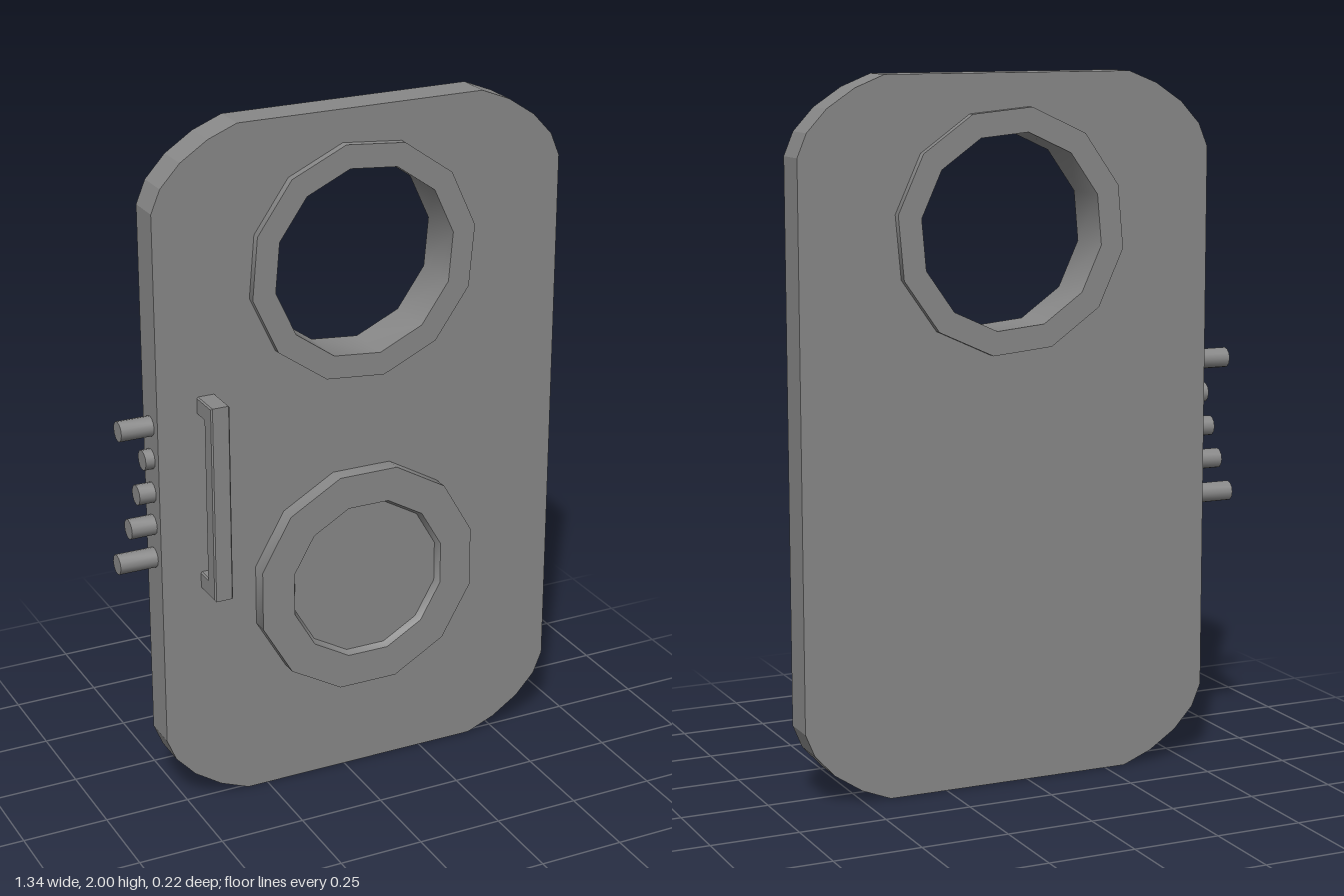
import * as THREE from 'three';
import { toCreasedNormals } from 'three/addons/utils/BufferGeometryUtils.js';

const material = new THREE.MeshStandardMaterial({ color: 0x888888 });
const creaseAngle = 0.6;

function addMesh(parent, name, geometry, x = 0, y = 0, z = 0) {
  const mesh = new THREE.Mesh(geometry, material);
  mesh.name = name;
  mesh.position.set(x, y, z);
  parent.add(mesh);
  return mesh;
}

// Twelve-sided turned part whose axis is z; profile is [radius, z] pairs
function turned(profile, degrees) {
  const points = profile.map(([r, z]) => new THREE.Vector2(r, z));
  const lathe = new THREE.LatheGeometry(points, 12)
    .rotateX(Math.PI / 2)
    .rotateZ(THREE.MathUtils.degToRad(degrees));
  return toCreasedNormals(lathe, creaseAngle);
}

// Door outline: one faceted corner mirrored into all four
function doorShape() {
  const cx = 0.054, cy = 1, halfW = 0.616, halfH = 1;
  const corner = [[0, 0.215], [0.027, 0.15], [0.085, 0.087], [0.165, 0.034], [0.25, 0]];
  const points = [];
  for (const [sx, sy] of [[1, 1], [-1, 1], [-1, -1], [1, -1]]) {
    const part = corner.map(([dx, dy]) =>
      new THREE.Vector2(cx + sx * (halfW - dx), cy + sy * (halfH - dy)));
    points.push(...(sx * sy > 0 ? part : part.reverse()));
  }
  return new THREE.Shape(points);
}

export function createModel() {
  const group = new THREE.Group();
  group.name = 'heavyDoor';
  const ringX = 0.054, windowY = 1.568, dialY = 0.618;

  // Door slab with an opening hidden inside the window frame
  const shape = doorShape();
  const hole = new THREE.Path();
  hole.absarc(ringX, windowY, 0.3, 0, Math.PI * 2, true);
  shape.holes.push(hole);
  const slab = new THREE.ExtrudeGeometry(shape, { depth: 0.102, bevelEnabled: false, curveSegments: 12 });
  addMesh(group, 'doorSlab', slab, 0, 0, -0.09);

  // Window frame passing right through the slab
  addMesh(group, 'windowFrame', turned([
    [0.275, -0.112], [0.344, -0.112], [0.344, 0.035], [0.275, 0.035], [0.275, -0.112],
  ], 9.8), ringX, windowY);

  // Raised round boss with a shallow recess
  addMesh(group, 'recessedBoss', turned([
    [0.344, 0], [0.344, 0.06], [0.242, 0.06], [0.232, 0.04], [0, 0.04],
  ], 15), ringX, dialY);

  // Pull handle: a C-shaped side profile extruded across its width, edges softened
  const bevel = 0.004;
  const side = new THREE.Shape([
    [0, 0.675], [0.105, 0.675], [0.105, 1.252], [0, 1.252],
    [0, 1.2], [0.055, 1.2], [0.055, 0.727], [0, 0.727],
  ].map(([z, y]) => new THREE.Vector2(z, y)));
  const handle = new THREE.ExtrudeGeometry(side, {
    depth: 0.055 - 2 * bevel, bevelThickness: bevel, bevelSize: bevel, bevelOffset: -bevel, bevelSegments: 1,
  }).rotateY(-Math.PI / 2);
  addMesh(group, 'pullHandle', handle, -0.39 - bevel, 0, 0.004);

  // Locking bolts sticking out of the edge by different amounts
  const tips = [[1.17, -0.657], [1.073, -0.589], [0.973, -0.61], [0.875, -0.636], [0.775, -0.673]];
  const inner = -0.52;
  for (const [y, tip] of tips) {
    const bolt = new THREE.CylinderGeometry(0.029, 0.029, inner - tip, 12).rotateZ(Math.PI / 2);
    addMesh(group, 'lockingBolt', toCreasedNormals(bolt, creaseAngle), (inner + tip) / 2, y, -0.041);
  }

  return group;
}
